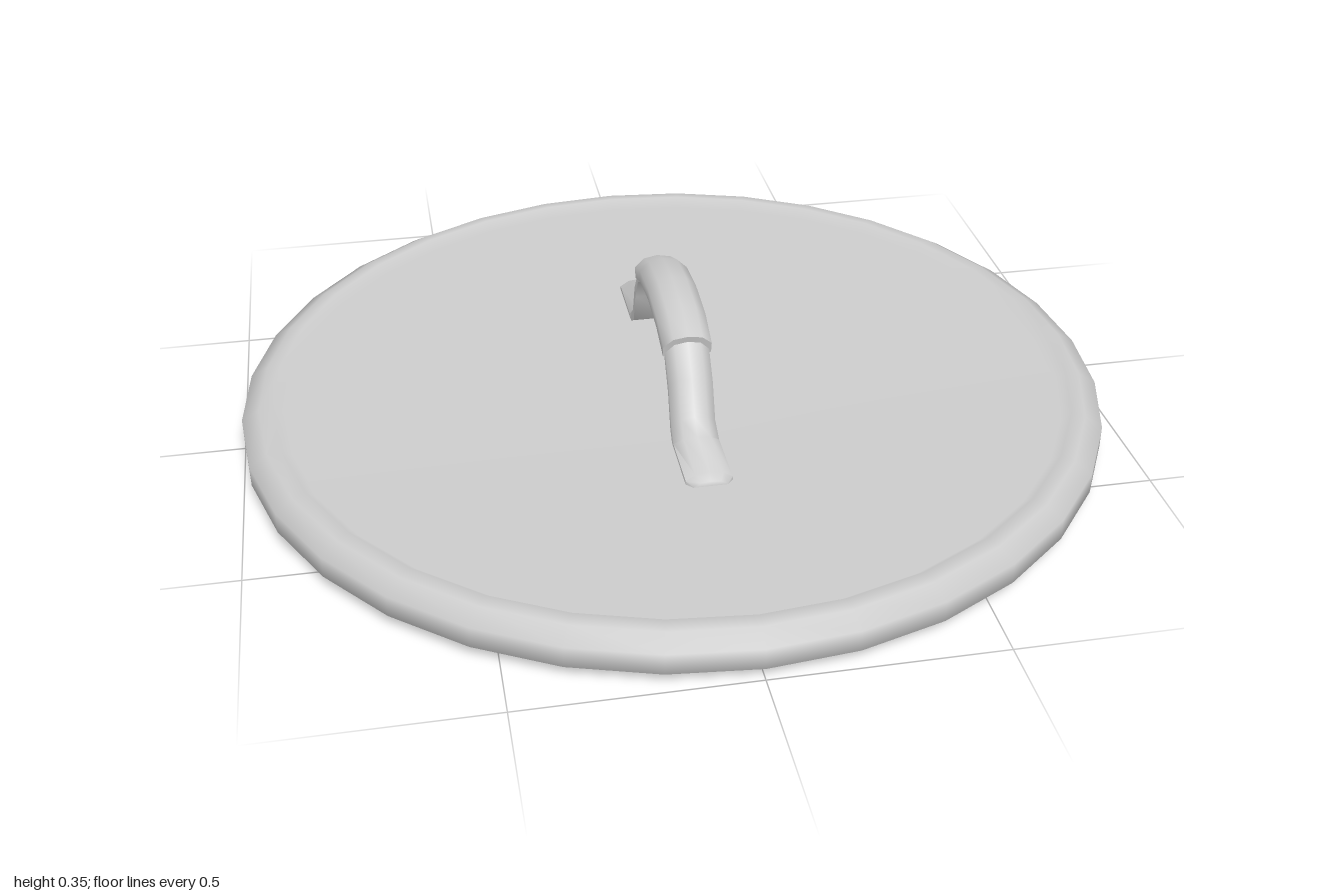
import * as THREE from 'three';
import { toCreasedNormals } from 'three/addons/utils/BufferGeometryUtils.js';

const metal = new THREE.MeshStandardMaterial({ color: 0xcccccc });
metal.name = 'light grey metal';

// Cross-sections: [across -1..1, height 0 (inner) .. 1 (outer)]
const strapSection = [[-1, 0], [-1, 0.45], [-0.6, 0.88], [0, 1], [0.6, 0.88], [1, 0.45], [1, 0]];
const gripSection = [[-0.5, 0], [-1, 0.3], [-1, 0.65], [-0.6, 0.92], [0, 1], [0.6, 0.92], [1, 0.65], [1, 0.3], [0.5, 0]];

// Joins sections along stations [outer z, outer y, inner z, inner y, half width], running from +z to -z
function loft(stations, section) {
  const n = section.length, pos = [], index = [];
  for (const [oz, oy, iz, iy, w] of stations) {
    for (const [u, v] of section) pos.push(u * w, iy + (oy - iy) * v, iz + (oz - iz) * v);
  }
  for (let s = 0; s < stations.length - 1; s++) {
    for (let i = 0; i < n; i++) {
      const j = (i + 1) % n, a = s * n + i, b = s * n + j;
      index.push(a, b, a + n, b, b + n, a + n);
    }
  }
  const last = (stations.length - 1) * n;
  for (let i = 1; i < n - 1; i++) {
    index.push(0, i + 1, i, last, last + i, last + i + 1);
  }
  const geo = new THREE.BufferGeometry();
  geo.setAttribute('position', new THREE.Float32BufferAttribute(pos, 3));
  geo.setIndex(index);
  return toCreasedNormals(geo, 0.95);
}

function part(name, geometry) {
  const mesh = new THREE.Mesh(geometry, metal);
  mesh.name = name;
  return mesh;
}

export function createModel() {
  const model = new THREE.Group();
  model.name = 'lid';

  // Recessed disc with a rounded rim, smooth all the way across
  const profile = [
    [0, 0.022], [0.905, 0.022], [0.928, 0.002], [0.96, 0.006], [1, 0.03],
    [1, 0.078], [0.96, 0.102], [0.928, 0.106], [0.905, 0.086], [0, 0.086],
  ].map(([r, y]) => new THREE.Vector2(r, y));
  model.add(part('disc and rim', new THREE.LatheGeometry(profile, 32)));

  const handle = new THREE.Group();
  handle.name = 'handle';

  // Two legs, each ending in a flat foot
  const leg = loft([
    [0.46, 0.098, 0.46, 0.08, 0.038],
    [0.445, 0.112, 0.445, 0.08, 0.052],
    [0.31, 0.114, 0.29, 0.08, 0.052],
    [0.28, 0.147, 0.25, 0.105, 0.05],
    [0.245, 0.23, 0.222, 0.185, 0.05],
    [0.19, 0.298, 0.178, 0.25, 0.05],
    [0.15, 0.315, 0.14, 0.27, 0.05],
  ], strapSection);
  const frontLeg = part('front leg', leg);
  const backLeg = part('back leg', leg);
  backLeg.rotation.y = Math.PI;

  // Thicker curved grip
  const half = [[0.198, 0.308, 0.18, 0.236, 0.055], [0.115, 0.342, 0.108, 0.264, 0.056]];
  const mirrored = half.map(([oz, oy, iz, iy, w]) => [-oz, oy, -iz, iy, w]).reverse();
  const grip = part('grip', loft([...half, [0, 0.354, 0, 0.276, 0.056], ...mirrored], gripSection));

  handle.add(frontLeg, backLeg, grip);
  model.add(handle);
  return model;
}
